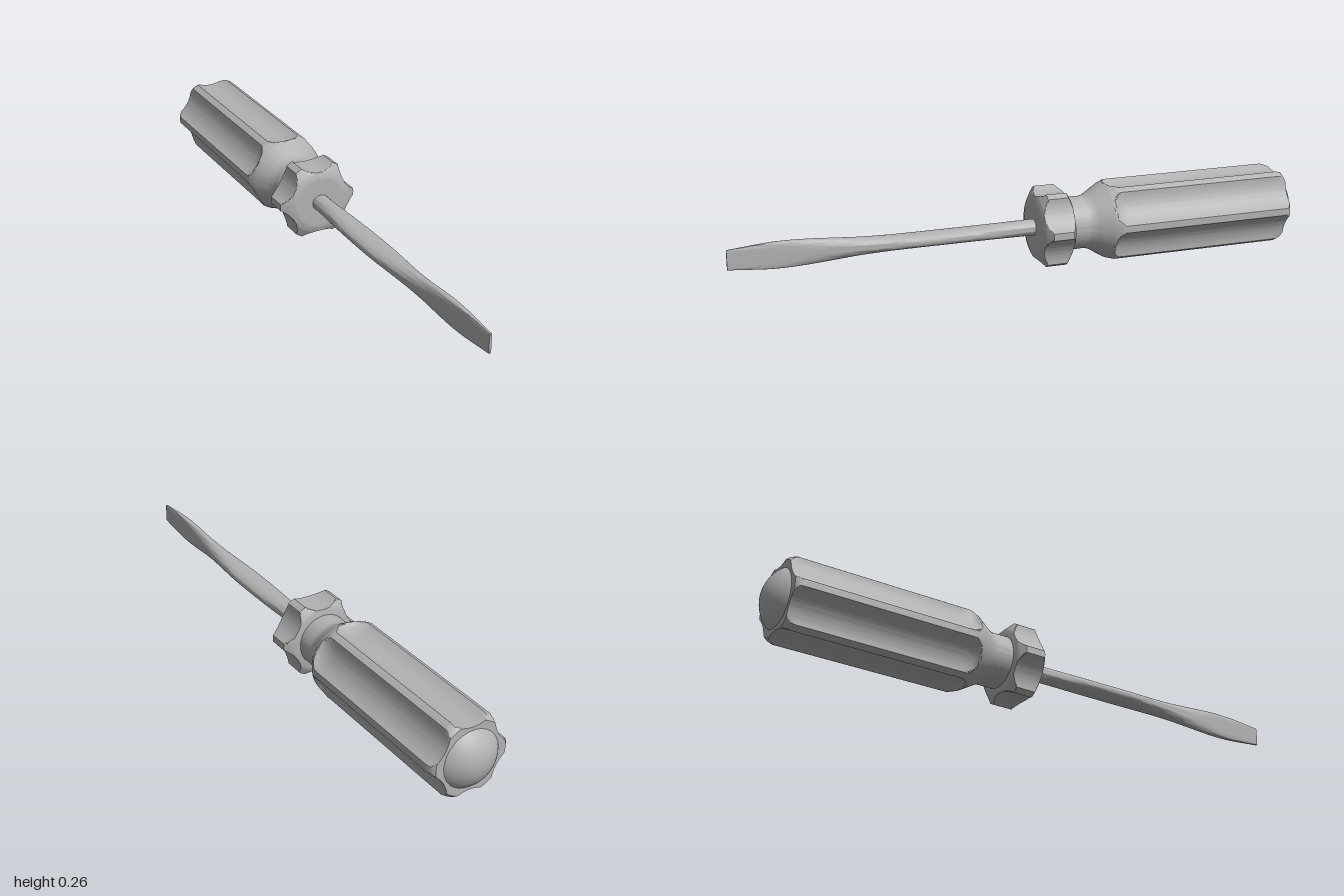
import * as THREE from 'three';
import { toCreasedNormals } from 'three/addons/utils/BufferGeometryUtils.js';

const AXIS_Y = 0.134;
const TINY = 0.0002;

// Skin closed rings of points, ordered from front (+z) to back
function loft(rings, crease) {
  const n = rings[0].length;
  const pos = rings.flatMap((ring) => ring.flat());
  const index = [];
  for (let j = 0; j < rings.length - 1; j++) {
    for (let i = 0; i < n; i++) {
      const k = (i + 1) % n;
      const a = j * n + i, b = a + n, c = (j + 1) * n + k, d = j * n + k;
      index.push(a, b, d, b, c, d);
    }
  }
  const geo = new THREE.BufferGeometry();
  geo.setAttribute('position', new THREE.Float32BufferAttribute(pos, 3));
  geo.setIndex(index);
  return toCreasedNormals(geo, crease);
}

// Split a [z, r] profile into steps no longer than the given length
function refine(profile, step) {
  const out = [profile[0]];
  for (let i = 1; i < profile.length; i++) {
    const [z0, r0] = profile[i - 1], [z1, r1] = profile[i];
    const n = Math.ceil(Math.hypot(z1 - z0, r1 - r0) / step);
    for (let k = 1; k <= n; k++) out.push([z0 + ((z1 - z0) * k) / n, r0 + ((r1 - r0) * k) / n]);
  }
  return out;
}

// Turned body with six round-bottomed flutes; lift(z) raises the flute floor
function flutedBody(profile, step, lift) {
  const cutter = 0.111, perSector = 24, count = 6 * perSector;
  const rings = refine(profile, step).map(([z, r]) => {
    const dist = 0.221 + lift(z);
    return Array.from({ length: count }, (_, i) => {
      const t = (i / count) * Math.PI * 2;
      const phi = (((i % perSector) / perSector) * 60 - 30) * (Math.PI / 180);
      const q = cutter ** 2 - (dist * Math.sin(phi)) ** 2;
      const cut = q > 0 ? dist * Math.cos(phi) - Math.sqrt(q) : Infinity;
      const rr = Math.min(r, cut);
      return [rr * Math.cos(t), rr * Math.sin(t), z];
    });
  });
  return loft(rings, 0.45);
}

// Round shank that flattens sideways, then turns into an upright flat blade
function shankGeometry() {
  const sections = [ // half width, half height, z
    [0.029, 0.028, -0.06], [0.032, 0.027, 0.03], [0.039, 0.025, 0.14],
    [0.043, 0.024, 0.26], [0.043, 0.024, 0.38], [0.037, 0.026, 0.48],
    [0.028, 0.031, 0.58], [0.02, 0.039, 0.68], [0.014, 0.044, 0.78],
    [0.0095, 0.044, 0.86], [0.006, 0.038, 0.94], [0.004, 0.033, 1.0],
  ];
  const curve = new THREE.CatmullRomCurve3(sections.map((s) => new THREE.Vector3(...s)));
  const power = (v, e) => Math.sign(v) * Math.abs(v) ** e;
  const section = (hx, hy, z) => {
    const e = 2 / (2 + 5 * THREE.MathUtils.smoothstep(z, 0.65, 1));
    return Array.from({ length: 40 }, (_, i) => {
      const t = ((i + 0.5) / 40) * Math.PI * 2;
      return [hx * power(Math.cos(t), e), hy * power(Math.sin(t), e), z];
    });
  };
  const rings = curve.getPoints(48).reverse().map((p) => section(p.x, p.y, p.z));
  rings.unshift(section(TINY, TINY, 1)); // flat tip
  return loft(rings, 0.7);
}

export function createModel() {
  const steel = new THREE.MeshStandardMaterial({ color: 0xb2b2b2 });
  steel.name = 'grey';
  const model = new THREE.Group();
  model.name = 'screwdriver';
  const add = (name, geometry) => {
    const mesh = new THREE.Mesh(geometry, steel);
    mesh.name = name;
    mesh.position.y = AXIS_Y;
    model.add(mesh);
    return mesh;
  };

  add('shank', shankGeometry());

  // Scalloped collar with chamfers on both ends
  add('collar', flutedBody([
    [-0.032, TINY], [-0.032, 0.09], [-0.038, 0.11], [-0.056, 0.14],
    [-0.128, 0.14], [-0.144, 0.114], [-0.148, 0.09], [-0.148, TINY],
  ], 0.006, () => 0));

  // Neck and flared grip; the flutes run out in a curve at the front
  const runOut = (z) => {
    const t = THREE.MathUtils.clamp((z + 0.345) / 0.055, 0, 1);
    return z > -0.2 ? 1 : 0.024 * (1 - Math.sqrt(1 - t * t)) + Math.max(0, z + 0.29) * 3;
  };
  add('handle', flutedBody([
    [-0.14, 0.09], [-0.212, 0.09], [-0.228, 0.096], [-0.285, 0.13], [-0.31, 0.14],
    [-0.36, 0.14], [-0.925, 0.14], [-0.942, 0.134], [-0.952, 0.125], [-0.952, TINY],
  ], 0.008, runOut));

  // Domed butt
  const dome = [];
  const R = 0.125, half = Math.asin(0.1 / R);
  for (let i = 0; i <= 10; i++) {
    const a = half * (1 - i / 10);
    dome.push(new THREE.Vector2(R * Math.sin(a), R * Math.cos(a) + 1 - R));
  }
  const butt = add('endDome', new THREE.LatheGeometry(dome, 48));
  butt.rotation.x = -Math.PI / 2;

  return model;
}
